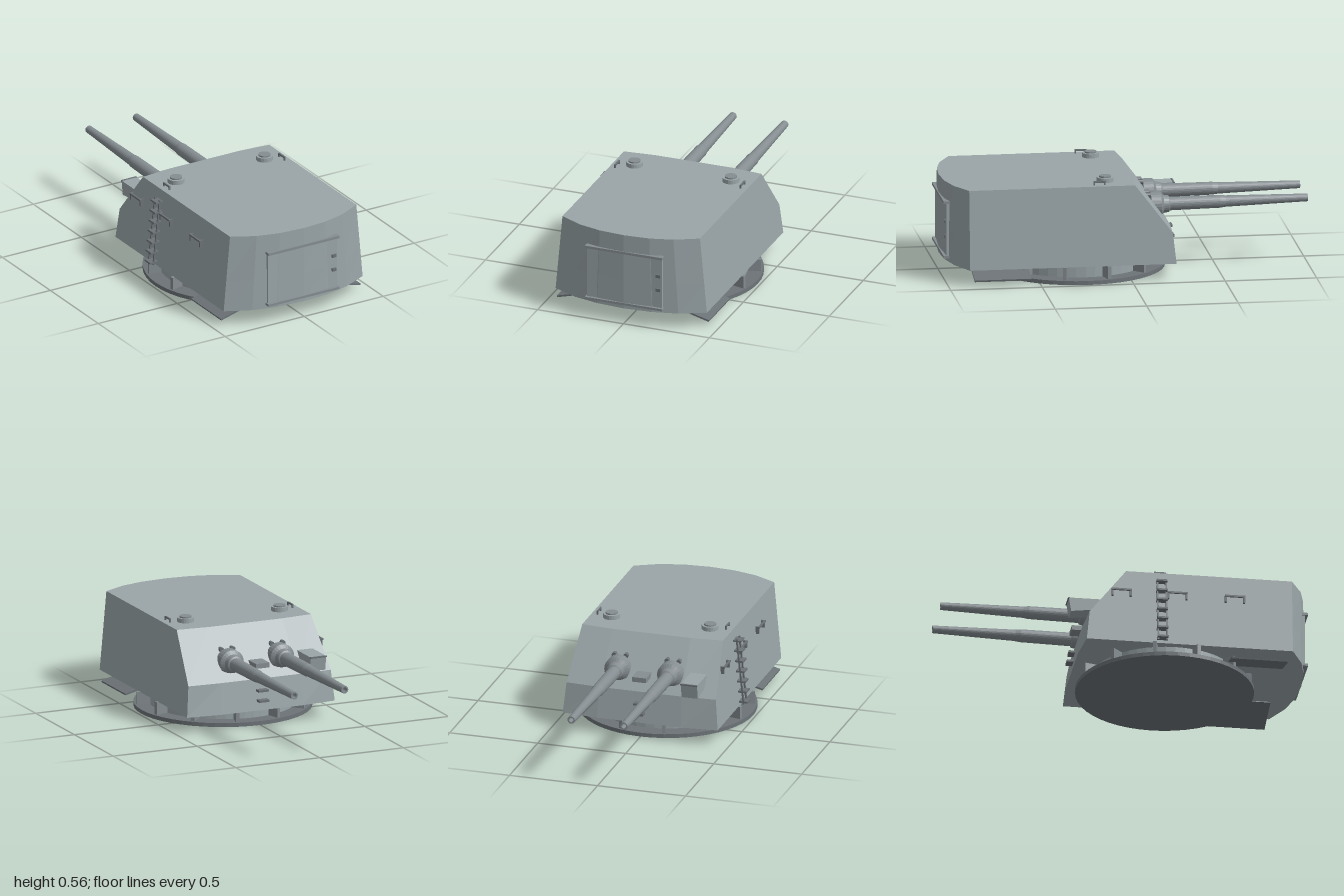
import * as THREE from 'three';

const mat = (color) => new THREE.MeshStandardMaterial({ color, flatShading: true, side: THREE.DoubleSide });

export function createModel() {
  const root = new THREE.Group();
  const armour = mat(0x9aa5a8), metal = mat(0x858d91), dark = mat(0x6c7377);

  const add = (name, geo, material, x = 0, y = 0, z = 0, parent = root) => {
    const m = new THREE.Mesh(geo, material);
    m.name = name;
    m.position.set(x, y, z);
    parent.add(m);
    return m;
  };
  // Box given by its min and max on each axis
  const box = (name, x0, x1, y0, y1, z0, z1, material = metal, parent = root) =>
    add(name, new THREE.BoxGeometry(x1 - x0, y1 - y0, z1 - z0), material,
      (x0 + x1) / 2, (y0 + y1) / 2, (z0 + z1) / 2, parent);
  // Thin bar between two points
  const bar = (name, a, b, w, material, parent) => {
    const p = new THREE.Vector3(...a), q = new THREE.Vector3(...b);
    const m = add(name, new THREE.BoxGeometry(w, p.distanceTo(q), w), material, 0, 0, 0, parent);
    m.position.copy(p).add(q).multiplyScalar(0.5);
    m.quaternion.setFromUnitVectors(new THREE.Vector3(0, 1, 0), q.sub(p).normalize());
    return m;
  };
  const sideX = (y) => 0.44 - (y - 0.09) * 0.092;

  // Armoured house: stacked outlines with a curved rear and a sloping gun face
  const ring = (y, zMid, zSide) => {
    const w = sideX(y);
    const rear = [[-1, 0.885], [-0.68, 0.952], [-0.36, 0.985], [0, 0.996],
      [0.36, 0.985], [0.68, 0.952], [1, 0.885]];
    const face = [[1, zSide], [0.55, zMid], [-0.55, zMid], [-1, zSide]];
    return [...rear, ...face].map(([x, z]) => [x * w, y, z]);
  };
  const rings = [ring(0.09, -0.262, -0.243), ring(0.26, -0.236, -0.225), ring(0.525, -0.038, -0.022)];
  const pos = [], n = rings[0].length;
  for (let i = 0; i < n; i++) {
    const j = (i + 1) % n;
    for (let k = 0; k < rings.length - 1; k++) {
      const a = rings[k][i], b = rings[k][j], c = rings[k + 1][j], d = rings[k + 1][i];
      pos.push(...a, ...b, ...c, ...a, ...c, ...d);
    }
    pos.push(0, 0.525, 0.4, ...rings[2][i], ...rings[2][j]);
    pos.push(0, 0.09, 0.4, ...rings[0][j], ...rings[0][i]);
  }
  const house = new THREE.BufferGeometry();
  house.setAttribute('position', new THREE.Float32BufferAttribute(pos, 3));
  house.computeVertexNormals();
  add('armouredHouse', house, armour);

  // Turntable: disc, drum and radial fins
  const table = new THREE.Group();
  table.name = 'turntable';
  table.position.z = 0.248;
  root.add(table);
  add('baseDisc', new THREE.CylinderGeometry(0.485, 0.485, 0.022, 48), dark, 0, 0.011, 0, table);
  add('drum', new THREE.CylinderGeometry(0.4, 0.4, 0.07, 48), armour, 0, 0.056, 0, table);
  for (let i = 0; i < 12; i++) {
    const pivot = new THREE.Group();
    pivot.name = 'finPivot';
    pivot.rotation.y = (i + 0.5) * Math.PI / 6;
    table.add(pivot);
    box('fin', -0.01, 0.01, 0.02, 0.092, 0.39, 0.472, metal, pivot);
  }

  // Sloping plates beneath the rear corners
  for (const s of [-1, 1]) {
    const plate = add('underPlate', new THREE.BoxGeometry(0.23, 0.01, 0.31), dark, s * 0.33, 0.06, 0.705);
    plate.rotation.z = -s * 0.262;
  }

  // Rear door with its rails and hinges
  box('rearDoor', -0.218, 0.218, 0.12, 0.415, 0.95, 0.984, armour);
  box('doorTopRail', -0.225, 0.225, 0.413, 0.427, 0.965, 1.0);
  box('doorBottomRail', -0.225, 0.225, 0.11, 0.123, 0.965, 1.0);
  for (const y of [0.228, 0.31]) box('doorHinge', 0.184, 0.21, y - 0.009, y + 0.009, 0.96, 0.993, dark);

  // Roof hatches and grab handles
  for (const s of [-1, 1]) {
    add('hatchBase', new THREE.CylinderGeometry(0.046, 0.046, 0.028, 20), armour, s * 0.28, 0.535, 0.125);
    add('hatchLid', new THREE.CylinderGeometry(0.033, 0.033, 0.034, 20), metal, s * 0.28, 0.54, 0.125);
    box('roofHandleBar', s * 0.365 - 0.004, s * 0.365 + 0.004, 0.538, 0.547, 0.135, 0.2, dark);
    for (const z of [0.139, 0.196])
      box('roofHandleLeg', s * 0.365 - 0.004, s * 0.365 + 0.004, 0.52, 0.54, z - 0.004, z + 0.004, dark);
  }

  // Twin guns, each a turned profile with a collar and hollow muzzle
  const profile = [[0.055, -0.02], [0.055, 0.01], [0.07, 0.02], [0.07, 0.075], [0.05, 0.09], [0.045, 0.12],
    [0.037, 0.125], [0.035, 0.4], [0.031, 0.43], [0.021, 0.88], [0.013, 0.88], [0.013, 0.8], [0, 0.8]]
    .map(([r, d]) => new THREE.Vector2(r, d));
  for (const s of [-1, 1]) {
    const gun = add('gunBarrel', new THREE.LatheGeometry(profile, 24), metal, s * 0.15, 0.354, -0.12);
    gun.rotation.x = -Math.PI / 2 + 0.011;
    // Paired studs over the collar
    for (const d of [-0.033, 0.033]) {
      const stud = add('stud', new THREE.CylinderGeometry(0.014, 0.014, 0.045, 10), dark, s * 0.15 + d, 0.415, -0.115);
      stud.rotation.x = -Math.PI / 2;
    }
  }

  // Sight hood beside the guns
  const hood = new THREE.Shape([[0.15, 0.37], [0.328, 0.37], [0.315, 0.29], [0.2, 0.305]]
    .map(([z, y]) => new THREE.Vector2(z, y)));
  const hoodMesh = add('sightHood', new THREE.ExtrudeGeometry(hood, { depth: 0.092, bevelEnabled: false }), armour, -0.35);
  hoodMesh.rotation.y = Math.PI / 2;
  box('hoodLip', -0.352, -0.256, 0.364, 0.372, -0.332, -0.322, dark);

  // Ledge and steps down the centre of the gun face
  box('centreLedge', -0.04, 0.04, 0.325, 0.352, -0.265, -0.14);
  box('faceStep', -0.03, 0.03, 0.194, 0.206, -0.28, -0.22, dark);
  box('faceStep', -0.03, 0.03, 0.139, 0.151, -0.29, -0.23, dark);

  // Side ladder
  const ladder = new THREE.Group();
  ladder.name = 'ladder';
  root.add(ladder);
  for (const z of [0.145, 0.193]) bar('ladderRail', [-0.464, 0.1, z], [-0.424, 0.475, z], 0.009, dark, ladder);
  for (let i = 0; i < 7; i++) {
    const y = 0.113 + i * 0.0583, x = -0.463 + (y - 0.1) * 0.107;
    box('ladderRung', x - 0.026, x + 0.026, y - 0.005, y + 0.005, 0.14, 0.198, dark, ladder);
  }

  // Handrails along the ladder side
  for (const z of [-0.05, 0.255, 0.57]) {
    const x = -sideX(0.4);
    box('handrail', x - 0.024, x - 0.014, 0.396, 0.406, z - 0.055, z + 0.055, dark);
    for (const d of [-0.05, 0.05]) {
      box('handrailBracket', x - 0.02, x + 0.01, 0.396, 0.406, z + d - 0.005, z + d + 0.005, dark);
      box('handrailFoot', x - 0.02, x + 0.004, 0.365, 0.4, z + d - 0.005, z + d + 0.005, dark);
    }
  }
  return root;
}
